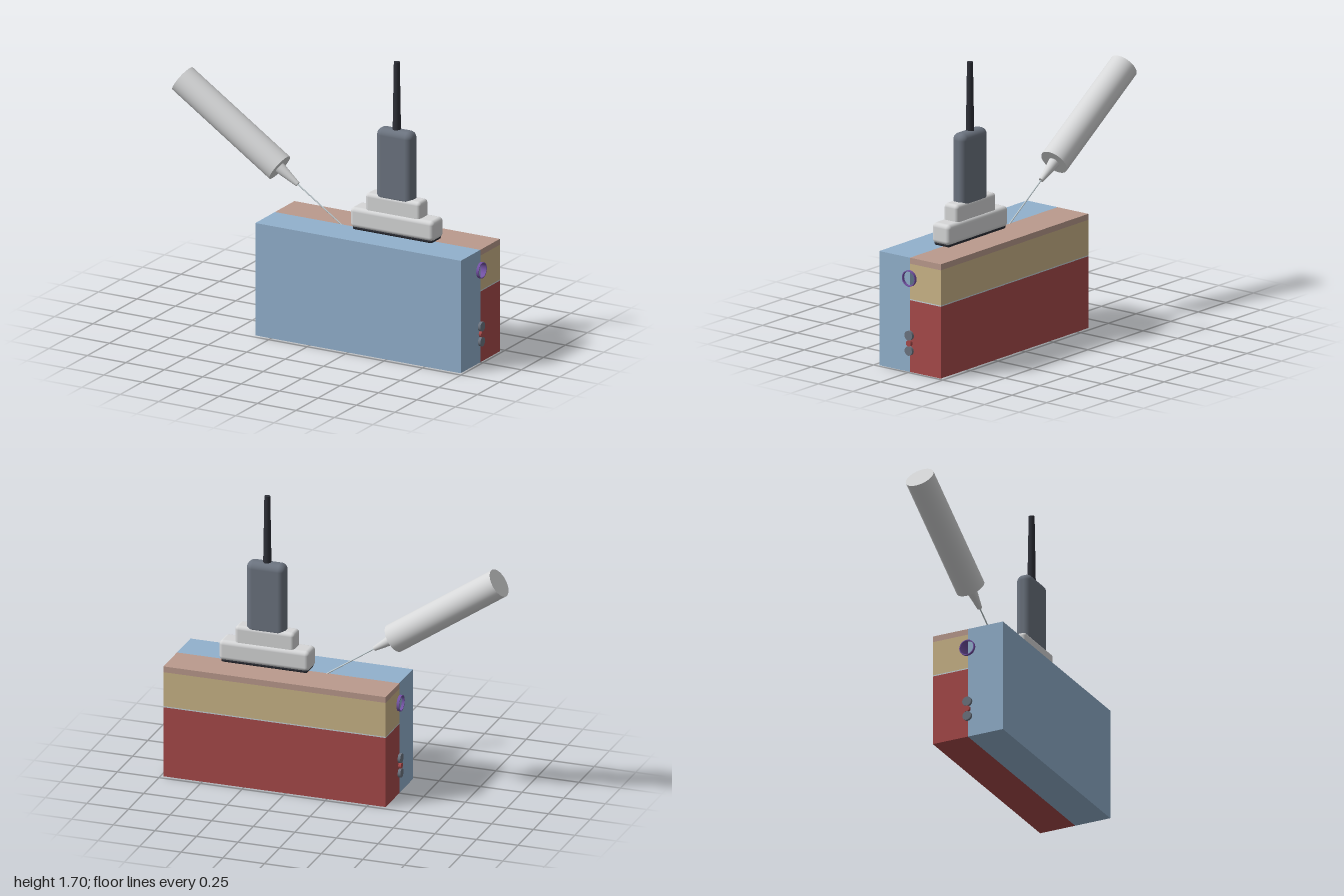
import * as THREE from 'three';
import { RoundedBoxGeometry } from 'three/addons/geometries/RoundedBoxGeometry.js';

const mat = (name, color, side = THREE.FrontSide) => {
  const m = new THREE.MeshStandardMaterial({ color, side });
  m.name = name;
  return m;
};

export function createModel() {
  const blue = mat('blue', 0x92b1cd);
  const red = mat('muscle red', 0xa84a4a);
  const tan = mat('fat tan', 0xcbb588);
  const pink = mat('skin pink', 0xba9a8d);
  const pale = mat('pale grey blue', 0xc6d2d6);
  const light = mat('light grey', 0xd6d7d8);
  const slate = mat('slate grey', 0x6c7480);
  const dark = mat('dark grey', 0x2e3038);
  const purple = mat('vein purple', 0x7453a6, THREE.DoubleSide);

  const model = new THREE.Group();
  const add = (name, geometry, material, x = 0, y = 0, z = 0, parent = model) => {
    const mesh = new THREE.Mesh(geometry, material);
    mesh.name = name;
    mesh.position.set(x, y, z);
    parent.add(mesh);
    return mesh;
  };

  // Tissue block: plain front half, layered back half
  const X0 = -0.353, X1 = 0.983, L = X1 - X0, CX = (X0 + X1) / 2, D = 0.222;
  const slab = (name, y0, y1, z, material) =>
    add(name, new THREE.BoxGeometry(L, y1 - y0, D), material, CX, (y0 + y1) / 2, z);
  slab('frontBlock', 0, 0.67, D / 2, blue);
  slab('muscleLayer', 0, 0.421, -D / 2, red);
  slab('fasciaLayer', 0.421, 0.428, -D / 2, pale);
  slab('skinLayer', 0.635, 0.67, -D / 2, pink);

  // Fat layer with a half-round channel for the vein (shape x is depth behind z = 0)
  const veinY = 0.55, veinR = 0.047;
  const fat = new THREE.Shape();
  fat.moveTo(0, 0.428);
  fat.lineTo(D, 0.428);
  fat.lineTo(D, 0.635);
  fat.lineTo(0, 0.635);
  fat.lineTo(0, veinY + veinR);
  fat.absarc(0, veinY, veinR, Math.PI / 2, -Math.PI / 2, true);
  fat.closePath();
  const fatGeometry = new THREE.ExtrudeGeometry(fat, { depth: L, bevelEnabled: false, curveSegments: 24 });
  fatGeometry.rotateY(Math.PI / 2);
  add('fatLayer', fatGeometry, tan, X0);

  // Vessels and nerves run through the block and stick out at both ends
  const tube = (name, r, y, material, open = false) => {
    const g = new THREE.CylinderGeometry(r, r, L + 0.032, 32, 1, open);
    g.rotateZ(Math.PI / 2);
    add(name, g, material, CX, y);
  };
  tube('veinOuterWall', veinR, veinY, purple, true);
  tube('veinInnerWall', veinR - 0.005, veinY, purple, true);
  for (const s of [-1, 1]) {
    const rim = new THREE.RingGeometry(veinR - 0.005, veinR, 32);
    rim.rotateY(s * Math.PI / 2);
    add('veinRim', rim, purple, CX + s * (L / 2 + 0.016), veinY);
  }
  tube('upperNerve', 0.028, 0.215, slate);
  tube('artery', 0.018, 0.17, red);
  tube('lowerNerve', 0.027, 0.125, slate);

  // Ultrasound probe
  const probe = new THREE.Group();
  probe.name = 'probe';
  probe.position.x = 0.44;
  model.add(probe);
  const block = (name, w, y0, y1, d, r, material) =>
    add(name, new RoundedBoxGeometry(w, y1 - y0, d, 5, r), material, 0, (y0 + y1) / 2, 0, probe);
  block('probeContactPad', 0.52, 0.673, 0.71, 0.11, 0.012, dark);
  block('probeHead', 0.542, 0.685, 0.806, 0.128, 0.025, light);
  block('probeNeck', 0.358, 0.78, 0.902, 0.102, 0.022, light);
  const handle = block('probeHandle', 0.234, 0.86, 1.3, 0.096, 0.04, slate);
  handle.geometry.computeBoundingBox();
  add('probeCable', new THREE.CylinderGeometry(0.017, 0.024, 0.42, 24), dark, 0, 1.49, 0, probe);

  // Syringe: local +y points from the needle tip back to the barrel end
  const syringe = new THREE.Group();
  syringe.name = 'syringe';
  syringe.position.set(-0.322, 0.94, 0);
  syringe.rotation.z = Math.atan2(0.631, 0.425);
  model.add(syringe);
  add('syringeBarrel', new THREE.CylinderGeometry(0.085, 0.085, 0.761, 48), light, 0, 0.3805, 0, syringe);
  add('needleHub', new THREE.CylinderGeometry(0.033, 0.014, 0.142, 24), light, 0, -0.071, 0, syringe);
  add('needle', new THREE.CylinderGeometry(0.004, 0.004, 0.36, 12), pale, 0, -0.31, 0, syringe);

  return model;
}
